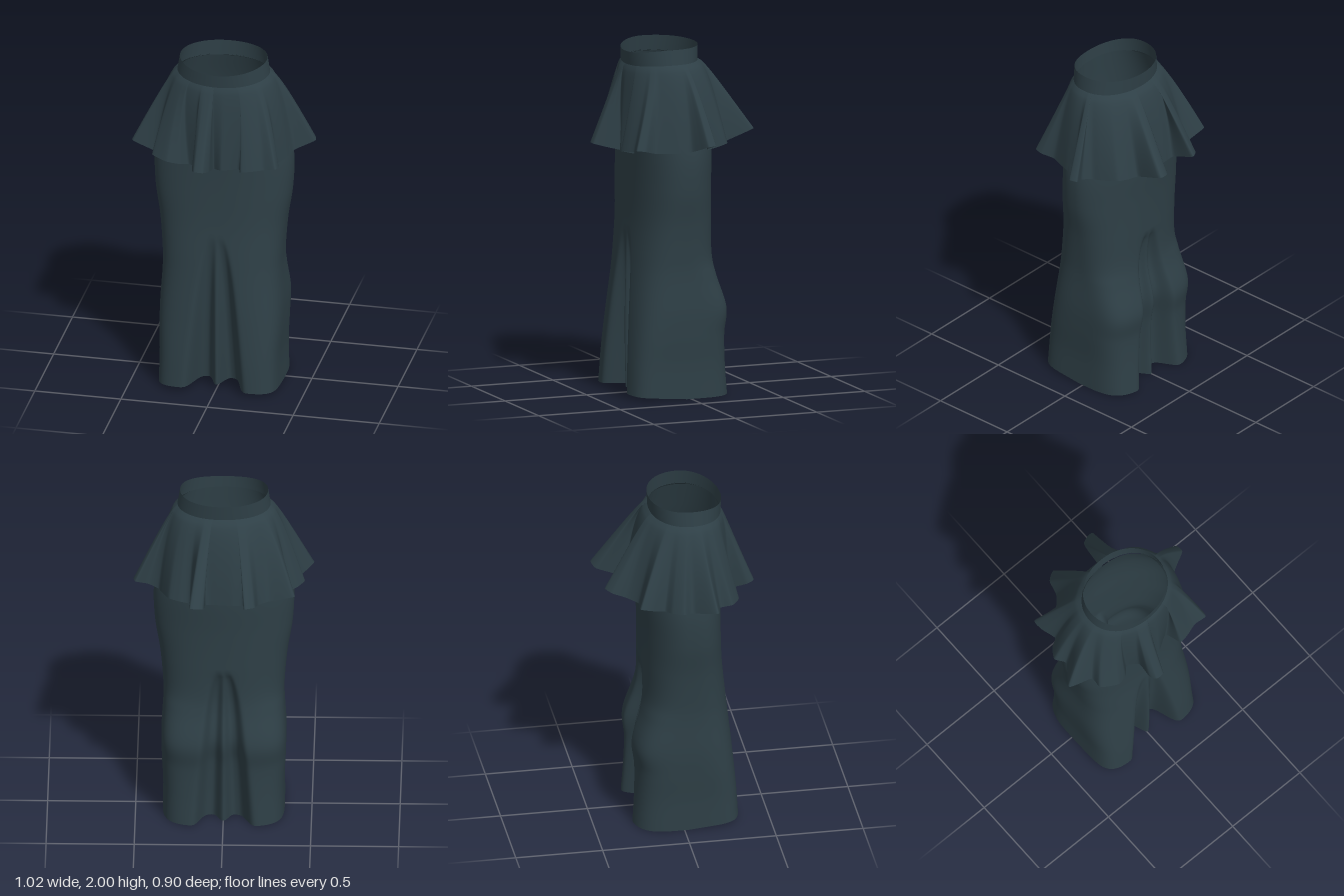
import * as THREE from 'three';

const cloth = new THREE.MeshStandardMaterial({ color: 0x2e3f46, side: THREE.DoubleSide });
cloth.name = 'dark slate cloth';

// Closed tube of cloth: point(u, t) with u around (from +x to +z) and t from top to bottom
function loft(name, around, rows, point) {
  const pos = [], index = [];
  for (let j = 0; j <= rows; j++) {
    for (let i = 0; i < around; i++) pos.push(...point(i / around, j / rows));
  }
  for (let j = 0; j < rows; j++) {
    for (let i = 0; i < around; i++) {
      const a = j * around + i, b = j * around + (i + 1) % around;
      index.push(a, b, a + around, b, b + around, a + around);
    }
  }
  const g = new THREE.BufferGeometry();
  g.setAttribute('position', new THREE.Float32BufferAttribute(pos, 3));
  g.setIndex(index);
  g.computeVertexNormals();
  const mesh = new THREE.Mesh(g, cloth);
  mesh.name = name;
  return mesh;
}

// Radius of a unit squared-off circle in direction (c, s)
const squared = (c, s, n) => (Math.abs(c) ** n + Math.abs(s) ** n) ** (-1 / n);
// Smooth hump of half width w
const bump = (d, w, power) => Math.exp(-(Math.abs(d / w) ** power));

// Waistband: oval ring, a little lower at the front
function waistband() {
  return loft('waistband', 96, 3, (u, t) => {
    const c = Math.cos(u * 2 * Math.PI), s = Math.sin(u * 2 * Math.PI);
    const r = squared(c, s, 2.1);
    const front = Math.max(0, s) ** 2;
    const top = 2 - 0.03 * front, bottom = 1.91 - 0.015 * front;
    return [(0.25 + 0.015 * t) * r * c, top + (bottom - top) * t, 0.055 + (0.21 - 0.005 * t) * r * s];
  });
}

// Peplum: flares quickly from the waist, then breaks into deep flutes towards the hem
function peplum() {
  const hem = [
    [0.51, -0.04], [0.5, -0.09], [0.43, -0.065], [0.37, -0.09], [0.35, -0.14], [0.31, -0.23],
    [0.25, -0.26], [0.185, -0.28], [0.19, -0.445], [0.11, -0.43], [0.1, -0.27], [0.03, -0.265],
    [-0.05, -0.275], [-0.115, -0.28], [-0.12, -0.42], [-0.18, -0.39], [-0.2, -0.31],
    [-0.26, -0.25], [-0.4, -0.265], [-0.4, -0.2], [-0.37, -0.12], [-0.42, -0.085], [-0.46, -0.02],
    [-0.42, 0.04], [-0.51, 0.165], [-0.37, 0.2], [-0.37, 0.27], [-0.31, 0.31], [-0.27, 0.325],
    [-0.21, 0.31], [-0.16, 0.26], [-0.1, 0.3], [-0.11, 0.4], [-0.09, 0.44], [-0.04, 0.44],
    [-0.015, 0.38], [-0.01, 0.28], [0.04, 0.31], [0.13, 0.26], [0.16, 0.355], [0.22, 0.35],
    [0.29, 0.33], [0.36, 0.34], [0.37, 0.29], [0.34, 0.22], [0.38, 0.1], [0.4, 0.02], [0.45, -0.01],
  ].reverse().map(([x, z]) => new THREE.Vector3(x, 0, z));
  const curve = new THREE.CatmullRomCurve3(hem, true, 'catmullrom', 0.3);
  return loft('peplum', 288, 24, (u, t) => {
    const p = curve.getPoint(u);
    const ang = Math.atan2(p.z - 0.03, p.x);
    const c = Math.cos(ang), s = Math.sin(ang), r = squared(c, s, 2.1);
    const wx = 0.263 * r * c, wz = 0.055 + 0.205 * r * s;
    const bx = 0.42 * r * c, bz = 0.01 + 0.325 * r * s;
    const flute = Math.max(0, Math.hypot(p.x / 0.38, p.z / 0.28) - 1) * 0.28;
    const top = 1.915 - 0.02 * Math.max(0, s) ** 2;
    const bottom = 1.41 + 0.33 * flute - 0.06 * p.z + 0.12 * p.x * p.x;
    const flare = t ** 0.6, fold = t ** 1.25;
    return [
      wx + (bx - wx) * flare + (p.x - bx) * fold,
      top + (bottom - top) * t,
      wz + (bz - wz) * flare + (p.z - bz) * fold,
    ];
  });
}

// Long skirt: half width, height, front depth, back depth, squareness of front and back
function skirt() {
  const rows = [
    [0.255, 1.91, 0.25, -0.145, 2.2, 2.2], [0.31, 1.75, 0.25, -0.185, 2.2, 2.1],
    [0.365, 1.58, 0.245, -0.215, 2.3, 2], [0.397, 1.4, 0.24, -0.22, 2.4, 2],
    [0.392, 1.2, 0.242, -0.21, 2.5, 2.15], [0.362, 1.0, 0.25, -0.205, 2.7, 2.45],
    [0.345, 0.8, 0.27, -0.205, 2.9, 2.8], [0.344, 0.68, 0.282, -0.222, 3.1, 3.5],
    [0.354, 0.5, 0.3, -0.272, 3.6, 4.2], [0.352, 0.35, 0.312, -0.262, 4.2, 4],
    [0.344, 0.18, 0.324, -0.268, 5, 4], [0.346, 0, 0.333, -0.282, 5.5, 4],
  ];
  const outer = new THREE.CatmullRomCurve3(rows.map(([a, y, f]) => new THREE.Vector3(a, y, f)), false, 'catmullrom', 0.5);
  const rear = new THREE.CatmullRomCurve3(rows.map((r) => new THREE.Vector3(...r.slice(3))), false, 'catmullrom', 0.5);
  return loft('skirt', 320, 88, (u, t) => {
    const c = Math.cos(u * 2 * Math.PI), s = Math.sin(u * 2 * Math.PI);
    const { x: a, y, z: front } = outer.getPoint(t);
    const { x: back, y: nFront, z: nBack } = rear.getPoint(t);
    const mid = (front + back) / 2, depth = (front - back) / 2;
    // the hips sit slightly fuller at the front right, slimmer at the back left
    const hip = bump(y - 1.25, 0.45, 2);
    const n = s > 0 ? nFront + (c < 0 ? 0.6 * hip : 0) : nBack - (c > 0 ? 0.12 * hip : 0);
    const r = squared(c, s, n);
    const x = a * r * c;
    let z = mid + depth * r * s;
    // paired folds either side of a narrow centre pleat, deepening to the hem
    const k = THREE.MathUtils.clamp((0.94 - y) / 0.94, 0, 1);
    if (k > 0) {
      const open = 0.2 + 0.8 * Math.sqrt(k);
      const fold = bump(x - 0.08 * open, 0.063 * open, 2.8) + bump(x + 0.08 * open, 0.063 * open, 2.8);
      const centre = bump(x, 0.07, 2.5);
      z -= s > 0
        ? 0.17 * k * fold + 0.025 * k * centre
        : -(0.13 * k ** 0.65 * fold + 0.03 * Math.sqrt(k) * centre);
    }
    const lift = 0.03 * Math.max(0, s) * (1 - Math.min(1, y / 0.4));
    return [x, y + lift, z];
  });
}

export function createModel() {
  const model = new THREE.Group();
  model.name = 'peplumSkirt';
  model.add(waistband(), peplum(), skirt());
  return model;
}
